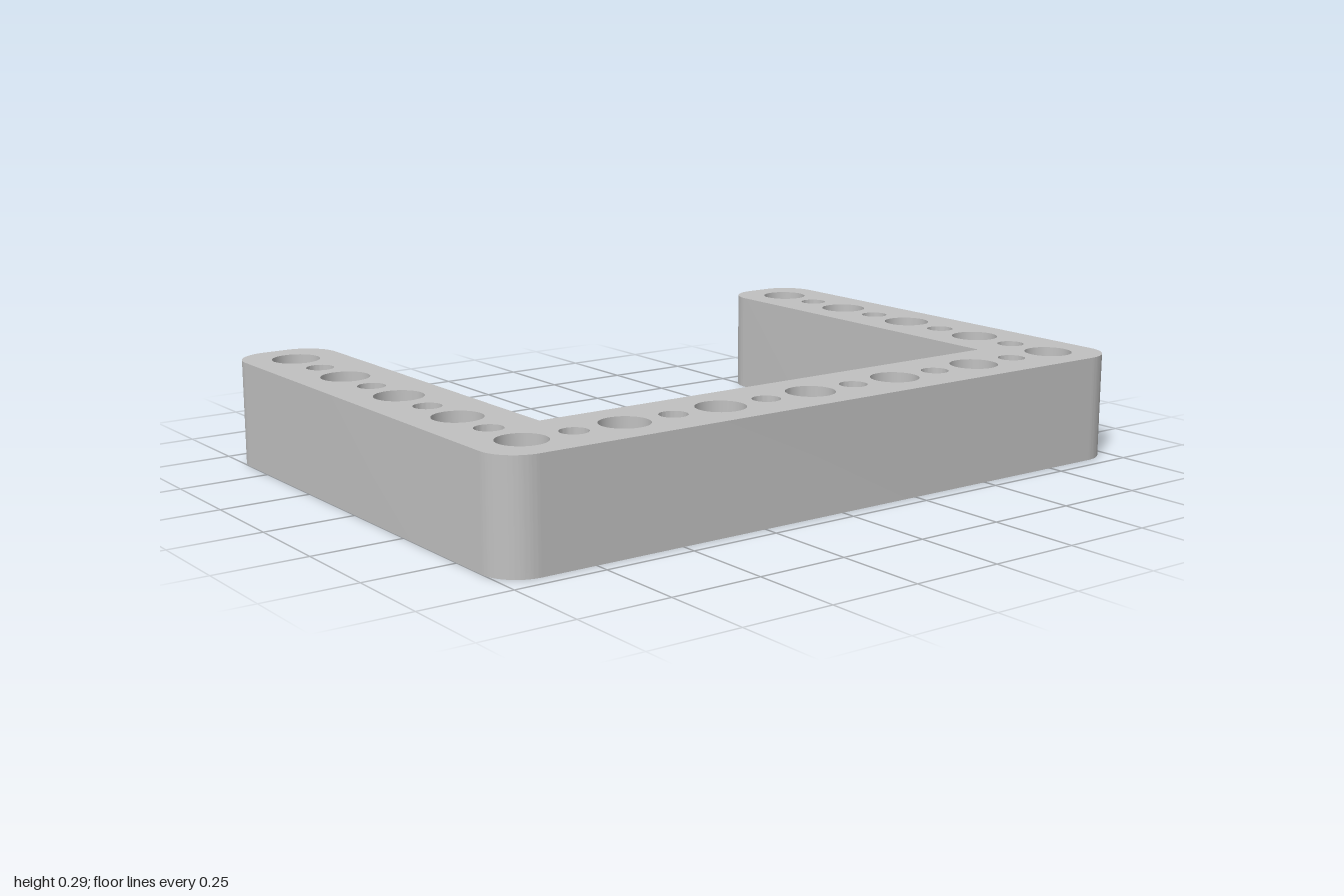
import * as THREE from 'three';
import { toCreasedNormals } from 'three/addons/utils/BufferGeometryUtils.js';

const HEIGHT = 0.29, X = 1, Z = 0.71, WIDTH = 0.27, CORNER = 0.1;
const PITCH = 0.2885, BIG = 0.065, SMALL = 0.037;

// U-shaped outline; shape y is -z, so the open end points to +y
function frameOutline() {
  const s = new THREE.Shape(), r = CORNER, inX = X - WIDTH, inY = WIDTH - Z;
  s.moveTo(-X + r, -Z);
  s.lineTo(X - r, -Z);
  s.absarc(X - r, -Z + r, r, -Math.PI / 2, 0);
  s.lineTo(X, Z - r);
  s.absarc(X - r, Z - r, r, 0, Math.PI / 2);
  s.lineTo(inX + r, Z);
  s.absarc(inX + r, Z - r, r, Math.PI / 2, Math.PI);
  s.lineTo(inX, inY);
  s.lineTo(-inX, inY);
  s.lineTo(-inX, Z - r);
  s.absarc(-inX - r, Z - r, r, 0, Math.PI / 2);
  s.lineTo(-X + r, Z);
  s.absarc(-X + r, Z - r, r, Math.PI / 2, Math.PI);
  s.lineTo(-X, -Z + r);
  s.absarc(-X + r, -Z + r, r, Math.PI, Math.PI * 1.5);
  return s;
}

export function createModel() {
  const group = new THREE.Group();
  group.name = 'perforatedFrame';
  const grey = new THREE.MeshStandardMaterial({ color: 0xc0c0c0 });
  grey.name = 'light grey';

  const shape = frameOutline();
  const addHole = (x, y, r) => {
    const hole = new THREE.Path();
    hole.absarc(x, y, r, 0, Math.PI * 2, true);
    shape.holes.push(hole);
  };
  const radius = (i) => (i % 2 === 0 ? BIG : SMALL);

  // Alternating large and small holes along the crossbar, corners included
  for (let i = -6; i <= 6; i++) addHole(i * PITCH / 2, -2 * PITCH, radius(i));
  // The same rhythm up both arms
  for (let i = -3; i <= 4; i++) {
    for (const side of [-1, 1]) addHole(side * 3 * PITCH, i * PITCH / 2, radius(i));
  }

  // Extrude upwards, smoothing the rounded corners and hole walls only
  const extruded = new THREE.ExtrudeGeometry(shape, { depth: HEIGHT, bevelEnabled: false, curveSegments: 20 });
  extruded.rotateX(-Math.PI / 2);
  const frame = new THREE.Mesh(toCreasedNormals(extruded, 0.6), grey);
  frame.name = 'frame';
  group.add(frame);
  return group;
}
